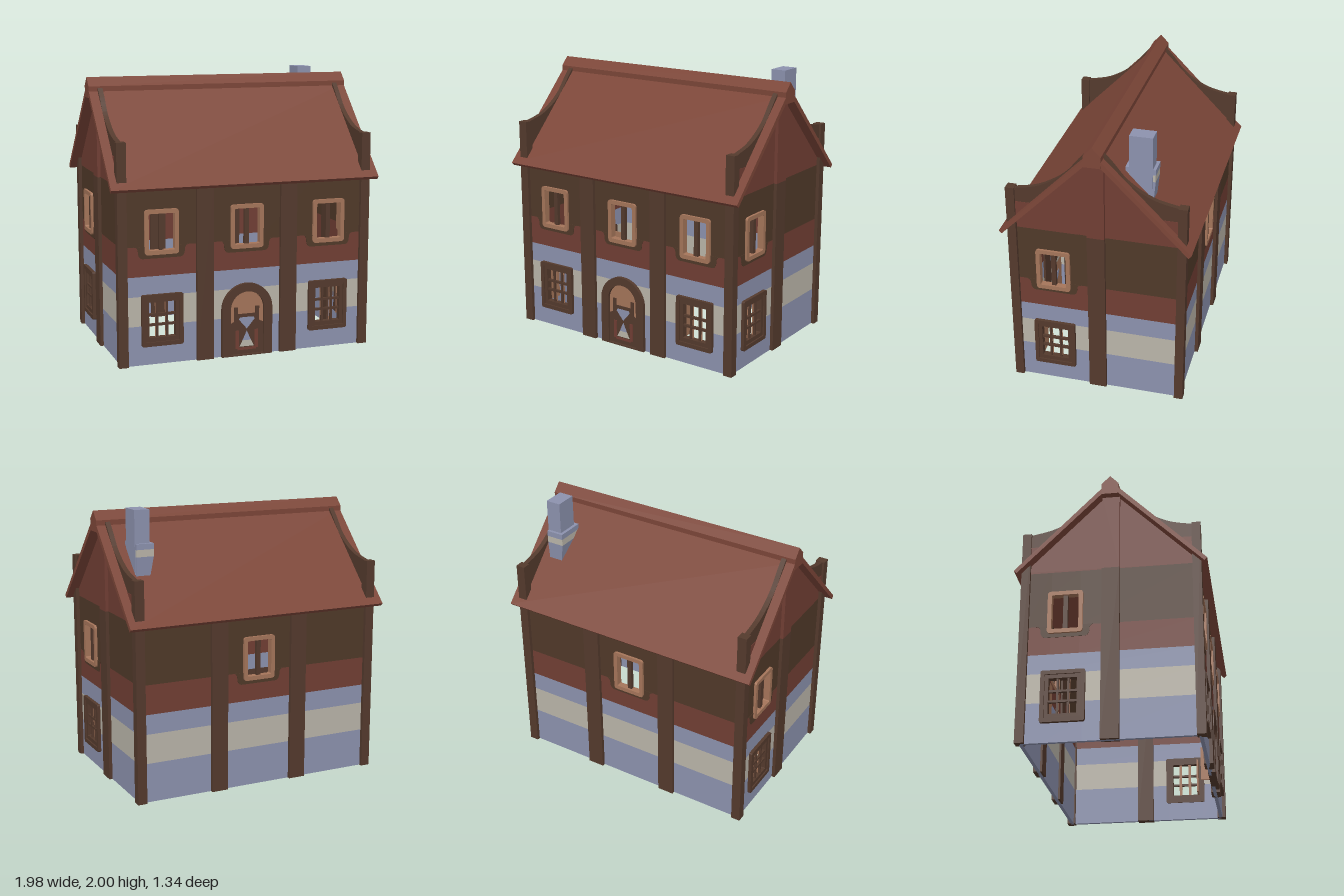
import * as THREE from 'three';

const mat = (name, color) => {
  const m = new THREE.MeshStandardMaterial({ color });
  m.name = name;
  return m;
};
const M = {
  roof: mat('roof red', 0x7c4638),
  red: mat('wall red', 0x713e34),
  blue: mat('stone blue', 0x8c92ae),
  cream: mat('cream', 0xbab5a9),
  wallBrown: mat('wall brown', 0x503929),
  timber: mat('timber brown', 0x543a2d),
  tan: mat('light wood', 0xa5755a),
};

function add(parent, name, geo, material) {
  const m = new THREE.Mesh(geo, material);
  m.name = name;
  parent.add(m);
  return m;
}
// Box given by its limits on each axis
function box(parent, name, material, x0, x1, y0, y1, z0, z1) {
  const m = add(parent, name, new THREE.BoxGeometry(x1 - x0, y1 - y0, z1 - z0), material);
  m.position.set((x0 + x1) / 2, (y0 + y1) / 2, (z0 + z1) / 2);
  return m;
}
const poly = pts => new THREE.Shape(pts.map(p => new THREE.Vector2(p[0], p[1])));
// Shape raised along z from z0 to z1
function plate(parent, name, material, shape, z0, z1) {
  const g = new THREE.ExtrudeGeometry(shape, { depth: z1 - z0, bevelEnabled: false, curveSegments: 12 });
  g.translate(0, 0, z0);
  return add(parent, name, g, material);
}
// Cross-section in (-z, y) swept along x from x0 to x1
function sweepX(parent, name, material, shape, x0, x1) {
  const g = new THREE.ExtrudeGeometry(shape, { depth: x1 - x0, bevelEnabled: false });
  g.translate(0, 0, x0);
  g.rotateY(Math.PI / 2);
  return add(parent, name, g, material);
}
function roundRect(hw, y0, y1, r, Type = THREE.Shape) {
  const s = new Type();
  s.moveTo(-hw + r, y0); s.lineTo(hw - r, y0); s.quadraticCurveTo(hw, y0, hw, y0 + r);
  s.lineTo(hw, y1 - r); s.quadraticCurveTo(hw, y1, hw - r, y1);
  s.lineTo(-hw + r, y1); s.quadraticCurveTo(-hw, y1, -hw, y1 - r);
  s.lineTo(-hw, y0 + r); s.quadraticCurveTo(-hw, y0, -hw + r, y0);
  return s;
}
function arch(hw, y0, cy, Type = THREE.Shape) {
  const s = new Type();
  s.moveTo(-hw, y0); s.lineTo(hw, y0); s.lineTo(hw, cy);
  s.absarc(0, cy, hw, 0, Math.PI, false);
  s.lineTo(-hw, y0);
  return s;
}

const BANDS = [
  [0, 0.28, 'blue'], [0.28, 0.49, 'cream'], [0.49, 0.63, 'blue'],
  [0.63, 0.84, 'red'], [0.84, 1.255, 'wallBrown'],
];

// Colour-banded wall cut by rectangular openings [u0, u1, v0, v1]; outer face at z = 0
function bandedWall(parent, half, openings) {
  const holes = [...openings].sort((a, b) => a[0] - b[0]);
  for (const [y0, y1, key] of BANDS) {
    let u = -half;
    const piece = (a, b, c, d) => {
      if (b - a > 1e-4 && d - c > 1e-4) box(parent, 'wallBand', M[key], a, b, c, d, -0.025, 0);
    };
    for (const [a, b, c, d] of holes) {
      if (d <= y0 || c >= y1) continue;
      piece(u, a, y0, y1);
      piece(a, b, y0, Math.max(y0, c));
      piece(a, b, Math.min(y1, d), y1);
      u = b;
    }
    piece(u, half, y0, y1);
  }
}

function upperWindow(parent, u) {
  const g = new THREE.Group();
  g.name = 'upperWindow';
  g.position.x = u;
  parent.add(g);
  const frame = roundRect(0.122, 0.782, 1.097, 0.025);
  frame.holes.push(roundRect(0.093, 0.812, 1.068, 0.01, THREE.Path));
  plate(g, 'windowFrame', M.tan, frame, -0.03, 0.018);
  box(g, 'mullion', M.timber, -0.016, 0.016, 0.81, 1.07, -0.025, 0.002);
  // brown apron dipping into the red band
  const s = new THREE.Shape();
  s.moveTo(-0.2, 0.841); s.quadraticCurveTo(-0.168, 0.84, -0.168, 0.8);
  s.quadraticCurveTo(-0.165, 0.755, -0.13, 0.755); s.lineTo(0.13, 0.755);
  s.quadraticCurveTo(0.165, 0.755, 0.168, 0.8); s.quadraticCurveTo(0.168, 0.84, 0.2, 0.841);
  s.lineTo(0.1, 0.841); s.lineTo(0.1, 0.8); s.lineTo(-0.1, 0.8); s.lineTo(-0.1, 0.841);
  plate(g, 'windowApron', M.wallBrown, s, 0, 0.003);
}

function lowerWindow(parent, u) {
  const g = new THREE.Group();
  g.name = 'lowerWindow';
  g.position.x = u;
  parent.add(g);
  const outer = roundRect(0.15, 0.135, 0.503, 0.015);
  outer.holes.push(roundRect(0.122, 0.165, 0.475, 0.004, THREE.Path));
  plate(g, 'windowFrame', M.timber, outer, -0.03, 0.024);
  const inner = roundRect(0.124, 0.163, 0.477, 0.004);
  inner.holes.push(roundRect(0.096, 0.195, 0.448, 0.004, THREE.Path));
  plate(g, 'windowSash', M.timber, inner, -0.03, 0.014);
  for (const x of [-0.036, 0.036]) {
    box(g, 'glazingBar', M.timber, x - 0.007, x + 0.007, 0.19, 0.45, -0.01, 0.006);
    box(g, 'innerBar', M.tan, x - 0.01, x + 0.01, 0.19, 0.45, -0.02, -0.01);
  }
  for (const y of [0.285, 0.358]) box(g, 'glazingBar', M.timber, -0.1, 0.1, y - 0.008, y + 0.008, -0.012, 0.008);
  box(g, 'innerShutter', M.tan, -0.112, -0.1, 0.19, 0.45, -0.13, -0.02);
}

function door(parent) {
  const g = new THREE.Group();
  g.name = 'door';
  parent.add(g);
  const frame = arch(0.19, 0, 0.34);
  frame.holes.push(arch(0.125, 0.01, 0.345, THREE.Path));
  plate(g, 'doorFrame', M.timber, frame, -0.028, 0.025);
  plate(g, 'doorPanel', M.tan, arch(0.13, 0.005, 0.345), 0.001, 0.006);
  // carved lower leaf with two posts
  plate(g, 'doorLeaf', M.timber, poly([[-0.126, 0.008], [0.126, 0.008], [0.126, 0.235], [0.095, 0.25],
    [0.095, 0.355], [0.065, 0.355], [0.065, 0.305], [-0.065, 0.305], [-0.065, 0.355], [-0.095, 0.355],
    [-0.095, 0.25], [-0.126, 0.235]]), 0.004, 0.01);
  // hourglass inlay, seen from both sides
  for (const [z0, z1] of [[0.01, 0.012], [-0.002, 0.001]]) {
    plate(g, 'upperInlay', M.blue, poly([[0, 0.195], [0.06, 0.265], [0.05, 0.28], [-0.05, 0.28], [-0.06, 0.265]]), z0, z1);
    plate(g, 'lowerInlayTip', M.blue, poly([[-0.032, 0.11], [0.032, 0.11], [0, 0.18]]), z0, z1);
    plate(g, 'lowerInlay', M.cream, poly([[-0.055, 0.065], [0.055, 0.065], [0.032, 0.11], [-0.032, 0.11]]), z0, z1);
  }
  for (const s of [-1, 1]) box(g, 'doorOrnament', M.red, s * 0.073 - 0.013, s * 0.073 + 0.013, 0.05, 0.185, 0.008, 0.013);
  box(g, 'doorOrnament', M.red, -0.07, 0.07, 0.04, 0.058, 0.008, 0.013);
}

// One side of the house: banded wall, posts, windows
function side(house, name, angle, dist, half, o) {
  const g = new THREE.Group();
  g.name = name;
  g.rotation.y = angle;
  g.position.set(Math.sin(angle) * dist, 0, Math.cos(angle) * dist);
  house.add(g);
  const holes = [];
  for (const u of o.upper) { upperWindow(g, u); holes.push([u - 0.1, u + 0.1, 0.8, 1.08]); }
  for (const u of o.lower) { lowerWindow(g, u); holes.push([u - 0.13, u + 0.13, 0.155, 0.485]); }
  if (o.door) { door(g); holes.push([-0.12, 0.12, 0, 0.42]); }
  bandedWall(g, half, holes);
  for (const u of o.posts) box(g, 'wallPost', M.timber, u - 0.062, u + 0.062, 0, 1.253, -0.04, 0.024);
}

export function createModel() {
  const house = new THREE.Group();
  house.name = 'house';

  side(house, 'frontWall', 0, 0.6, 0.9, { upper: [-0.625, 0, 0.625], lower: [-0.625, 0.625], door: true, posts: [-0.3125, 0.3125] });
  side(house, 'backWall', Math.PI, 0.6, 0.9, { upper: [0], lower: [], posts: [-0.3125, 0.3125] });
  for (const s of [-1, 1])
    side(house, s > 0 ? 'leftWall' : 'rightWall', s * Math.PI / 2, 0.915, 0.59, { upper: [-0.312], lower: [-0.315], posts: [0] });

  // Roof slabs and ridge cap
  for (const s of [-1, 1])
    sweepX(house, 'roofSlope', M.roof, poly([[s * 0.668, 1.25], [s * 0.05, 1.876], [s * 0.05, 1.83], [s * 0.648, 1.23]]), -0.99, 0.99);
  sweepX(house, 'ridgeCap', M.roof, poly([[-0.06, 1.82], [0.06, 1.82], [0.06, 1.902], [0, 1.965], [-0.06, 1.902]]), -0.991, 0.991);

  for (const s of [-1, 1]) {
    // Gable and its centre post
    const span = (a, b) => s > 0 ? [a, b] : [-b, -a];
    sweepX(house, 'gable', M.red, poly([[-0.61, 1.253], [0.61, 1.253], [0.61, 1.27], [0, 1.88], [-0.61, 1.27]]), ...span(0.89, 0.915));
    sweepX(house, 'gablePost', M.red, poly([[-0.062, 1.253], [0.062, 1.253], [0.062, 1.83], [-0.062, 1.83]]), ...span(0.88, 0.939));
    for (const t of [-1, 1]) {
      // Corner post rising through the roof, with a curved fin up to the ridge
      box(house, 'cornerPost', M.timber, ...span(0.873, 0.94), 0, 1.565, ...(t > 0 ? [0.563, 0.625] : [-0.625, -0.563]));
      const curve = new THREE.SplineCurve([[0.57, 1.56], [0.42, 1.592], [0.3, 1.65], [0.2, 1.725], [0.12, 1.822], [0.05, 1.9]]
        .map(p => new THREE.Vector2(p[0] * t, p[1])));
      const top = curve.getPoints(16).map(p => [p.x, p.y]);
      sweepX(house, 'roofFin', M.timber, poly([...top, [0.05 * t, 1.84], [0.57 * t, 1.315]]), ...span(0.89, 0.925));
      sweepX(house, 'finStripe', M.red, poly([[0.57 * t, 1.33], [0.57 * t, 1.46], [0.43 * t, 1.46]]), ...span(0.924, 0.927));
    }
  }

  // Chimney with a banded collar that narrows downward
  const chimney = new THREE.Group();
  chimney.name = 'chimney';
  house.add(chimney);
  box(chimney, 'stack', M.blue, 0.72, 0.83, 1.5, 2, -0.365, -0.205);
  box(chimney, 'collarTop', M.blue, 0.697, 0.827, 1.73, 1.77, -0.386, -0.18);
  box(chimney, 'collarBand', M.cream, 0.699, 0.826, 1.68, 1.73, -0.384, -0.182);
  const base = box(chimney, 'collarBase', M.blue, 0.699, 0.826, 1.5, 1.68, -0.384, -0.182);
  const p = base.geometry.attributes.position;
  for (let i = 0; i < p.count; i++) if (p.getY(i) < 0) {
    if (p.getX(i) < 0) p.setX(i, p.getX(i) + 0.03);
    if (p.getZ(i) < 0) p.setZ(i, p.getZ(i) + 0.015);
  }
  base.geometry.computeVertexNormals();
  return house;
}
